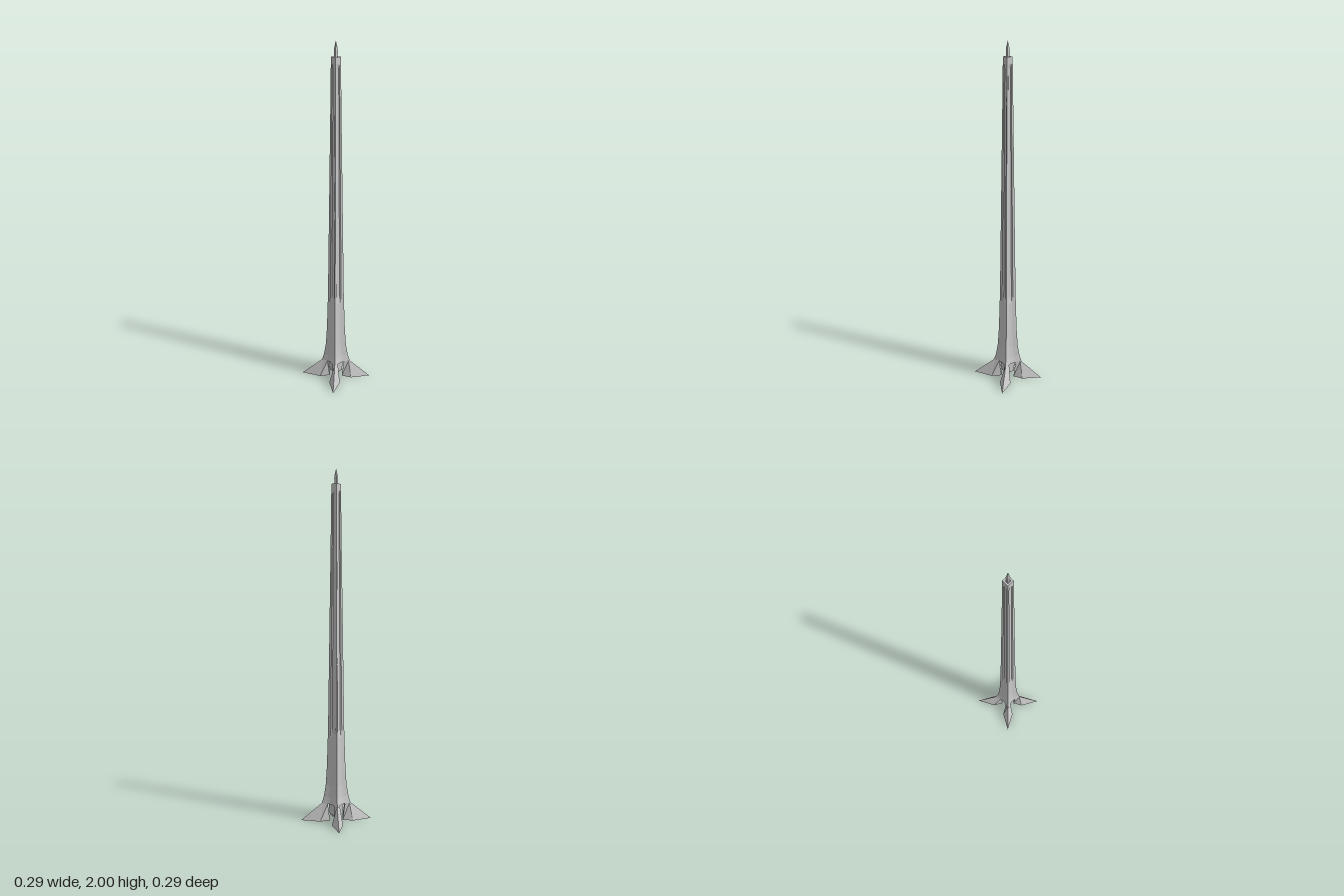
import * as THREE from 'three';

const material = new THREE.MeshStandardMaterial({ color: 0xcccccc, flatShading: true });

// Skin a stack of equal-length rings of [x, y, z], closing both ends
function loft(name, rings) {
  const pos = [];
  const tri = (a, b, c) => pos.push(...a, ...b, ...c);
  const n = rings[0].length;
  const centre = (r) => [0, 1, 2].map((k) => r.reduce((s, p) => s + p[k], 0) / n);
  const first = rings[0], last = rings[rings.length - 1];
  const c0 = centre(first), c1 = centre(last);
  for (let i = 0; i < n; i++) {
    const j = (i + 1) % n;
    for (let k = 0; k + 1 < rings.length; k++) {
      const lo = rings[k], up = rings[k + 1];
      tri(lo[i], up[i], lo[j]);
      tri(lo[j], up[i], up[j]);
    }
    tri(c0, first[i], first[j]);
    tri(c1, last[j], last[i]);
  }
  const geo = new THREE.BufferGeometry();
  geo.setAttribute('position', new THREE.Float32BufferAttribute(pos, 3));
  geo.computeVertexNormals();
  const mesh = new THREE.Mesh(geo, material);
  mesh.name = name;
  return mesh;
}

// Four-fold section: corner c, face shoulder (s, d), groove floor (g, m)
function section([y, c, s, d, g, m]) {
  const ring = [];
  for (let q = 0; q < 4; q++) {
    for (let [x, z] of [[d, -s], [m, -g], [m, g], [d, s], [c, c]]) {
      for (let r = 0; r < q; r++) [x, z] = [-z, x];
      ring.push([x, y, z]);
    }
  }
  return ring;
}

const square = (y, w) => section([y, w, w * 0.6, w, w * 0.3, w]);

export function createModel() {
  const model = new THREE.Group();
  model.name = 'tower';

  // Tapering shaft with grooved faces and a hollow square top
  const levels = [
    [0.1, 0.06, 0.025, 0.048, 0.012, 0.044],
    [0.14, 0.051, 0.024, 0.041, 0.012, 0.038],
    [0.21, 0.043, 0.022, 0.036, 0.011, 0.033],
    [0.32, 0.038, 0.019, 0.033, 0.01, 0.031],
    [0.5, 0.034, 0.017, 0.03, 0.01, 0.028],
    [0.54, 0.033, 0.016, 0.029, 0.01, 0.022],
    [1.0, 0.028, 0.014, 0.025, 0.009, 0.019],
    [1.6, 0.0215, 0.011, 0.02, 0.008, 0.015],
    [1.86, 0.019, 0.01, 0.018, 0.007, 0.014],
    [1.885, 0.0185, 0.01, 0.0185, 0.007, 0.0185],
  ];
  model.add(loft('shaft', [
    ...levels.map(section),
    square(1.92, 0.018), square(1.92, 0.01), square(1.9, 0.01),
  ]));

  // Pointed spike
  model.add(loft('spike', [
    square(1.9, 0.005), square(1.95, 0.0075), square(1.965, 0.006), square(2, 0.0003),
  ]));

  // Hub under the shaft
  model.add(loft('hub', [square(0.03, 0.026), square(0.12, 0.032)]));

  // Four splayed feet on the diagonals
  const sole = [[0.038, 0.015], [0.09, 0.045], [0.145, 0.145], [0.045, 0.09], [0.015, 0.038]];
  const top = [[0.047, 0.024], [0.058, 0.052], [0.06, 0.06], [0.052, 0.058], [0.024, 0.047]];
  for (let q = 0; q < 4; q++) {
    const foot = loft('foot', [
      sole.map(([x, z]) => [x, 0, z]),
      top.map(([x, z]) => [x, 0.1, z]),
    ]);
    foot.rotation.y = q * Math.PI / 2;
    model.add(foot);
  }
  return model;
}
